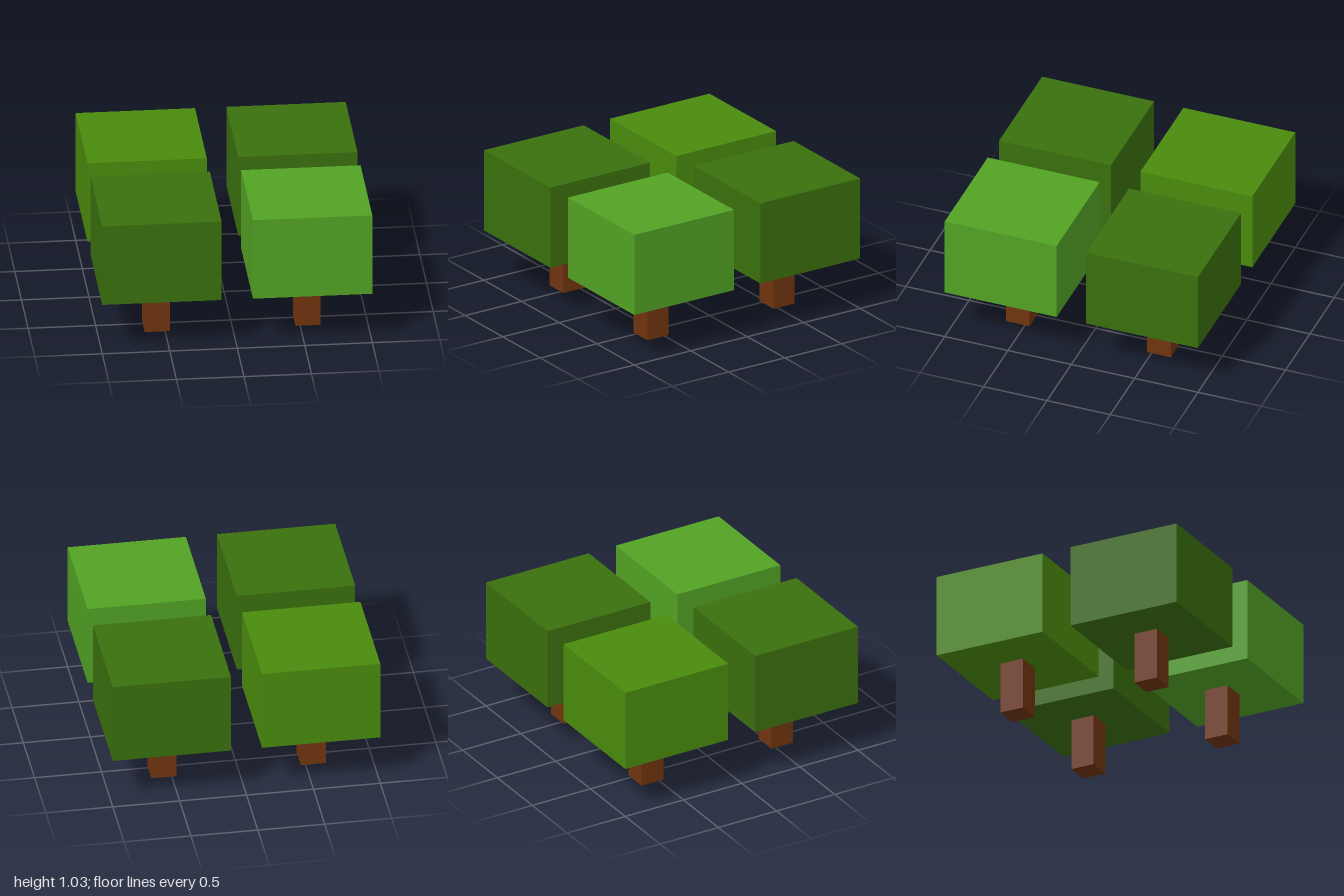
import * as THREE from 'three';

export function createModel() {
  const material = (name, color) => {
    const m = new THREE.MeshStandardMaterial({ color });
    m.name = name;
    return m;
  };
  const bark = material('bark brown', 0x70340e);
  const lightLeaf = material('light leaf green', 0x52a224);
  const midLeaf = material('mid leaf green', 0x4a8b0d);
  const darkLeaf = material('dark leaf green', 0x3a6f0d);

  const spacing = 0.558; // distance of each tree from the centre lines
  const trunkHeight = 0.397, trunkWidth = 0.187;
  const crownHeight = 0.637, crownWidth = 0.884;

  // Boxes with their base at y = 0
  const trunkShape = new THREE.BoxGeometry(trunkWidth, trunkHeight, trunkWidth).translate(0, trunkHeight / 2, 0);
  const crownShape = new THREE.BoxGeometry(crownWidth, crownHeight, crownWidth).translate(0, crownHeight / 2, 0);

  // One tree: square trunk with a block crown on top
  function createTree(name, leaf, x, z) {
    const tree = new THREE.Group();
    tree.name = name;
    const trunk = new THREE.Mesh(trunkShape, bark);
    trunk.name = 'trunk';
    const crown = new THREE.Mesh(crownShape, leaf);
    crown.name = 'crown';
    crown.position.y = trunkHeight;
    tree.add(trunk, crown);
    tree.position.set(x * spacing, 0, z * spacing);
    return tree;
  }

  // Two by two grove
  const grove = new THREE.Group();
  grove.name = 'grove';
  grove.add(
    createTree('frontLeftTree', lightLeaf, 1, 1),
    createTree('frontRightTree', darkLeaf, -1, 1),
    createTree('backLeftTree', darkLeaf, 1, -1),
    createTree('backRightTree', midLeaf, -1, -1),
  );
  return grove;
}
